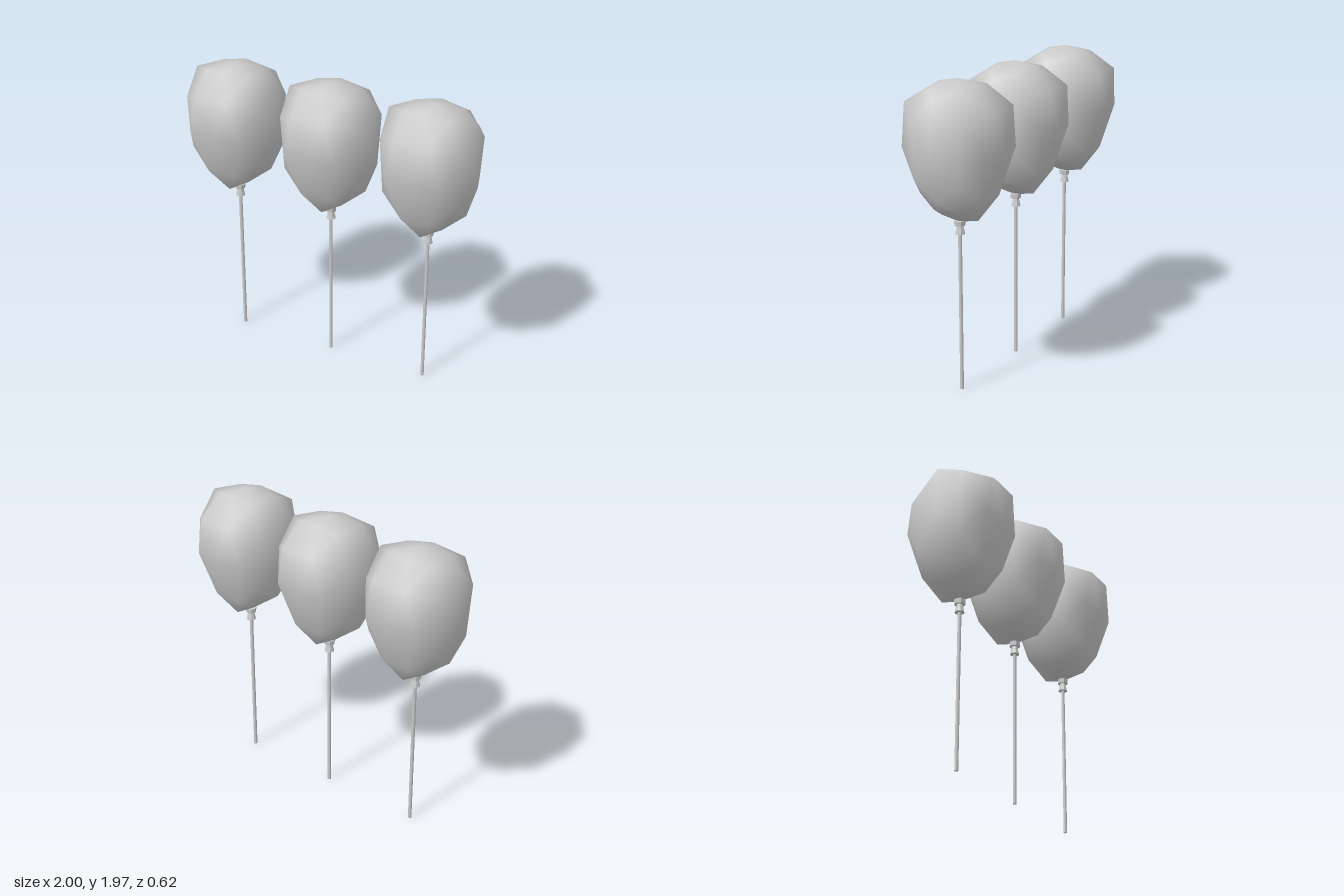
import * as THREE from 'three';
import { mergeVertices } from 'three/addons/utils/BufferGeometryUtils.js';

const MID = 1.56; // height of the widest point
const SPACING = 0.685;

// Vertex families of a once-divided icosahedron in one octant:
// unit direction, then shaped position (x, y, z from MID) above and below
const SHAPE = [
  [[0, 1, 0], [0, 0.41, 0], [0, -0.465, 0]], // crown and base
  [[0, 0.851, 0.526], [0, 0.385, 0.13], [0, -0.44, 0.13]],
  [[0.5, 0.809, 0.309], [0.155, 0.362, 0.105], [0.13, -0.37, 0.1]],
  [[0.851, 0.526, 0], [0.29, 0.328, 0], [0.245, -0.29, 0]], // side shoulders
  [[0.309, 0.5, 0.809], [0.115, 0.262, 0.305], [0.095, -0.29, 0.22]],
  [[0.809, 0.309, 0.5], [0.27, 0.18, 0.165], [0.25, -0.17, 0.155]],
  [[0.526, 0, 0.851], [0.175, 0, 0.288], [0.175, 0, 0.288]], // waist
  [[1, 0, 0], [0.315, 0, 0], [0.315, 0, 0]],
  [[0, 0, 1], [0.308, 0, 0.308].map((v, i) => (i === 2 ? v : 0)), [0, 0, 0.308]],
];

function balloonGeometry() {
  let geo = new THREE.IcosahedronGeometry(1, 1).rotateY(Math.PI / 2);
  geo.deleteAttribute('normal');
  geo.deleteAttribute('uv');
  geo = mergeVertices(geo, 1e-3);
  const pos = geo.attributes.position;
  const v = new THREE.Vector3();
  const sign = (n) => (n < 0 ? -1 : 1);
  for (let i = 0; i < pos.count; i++) {
    v.fromBufferAttribute(pos, i);
    const closeness = ([d]) => Math.abs(v.x) * d[0] + Math.abs(v.y) * d[1] + Math.abs(v.z) * d[2];
    const family = SHAPE.reduce((a, b) => (closeness(b) > closeness(a) ? b : a));
    const p = family[v.y < -1e-3 ? 2 : 1];
    pos.setXYZ(i, sign(v.x) * p[0], MID + p[1], sign(v.z) * p[2]);
  }
  geo.computeVertexNormals();
  return geo;
}

export function createModel() {
  const model = new THREE.Group();
  model.name = 'balloonsOnSticks';
  const smooth = new THREE.MeshStandardMaterial({ color: 0xcccccc });
  const faceted = new THREE.MeshStandardMaterial({ color: 0xcccccc, flatShading: true });

  // Tapered round part standing between two heights
  const rod = (rTop, rBottom, y0, y1) =>
    new THREE.CylinderGeometry(rTop, rBottom, y1 - y0, 8).translate(0, (y0 + y1) / 2, 0);

  const parts = [
    ['balloon', balloonGeometry(), smooth],
    ['knotCollar', rod(0.036, 0.034, 1.072, 1.103), faceted],
    ['holderCup', rod(0.019, 0.031, 1.018, 1.074), faceted],
    ['stick', rod(0.012, 0.012, 0, 1.04), smooth],
  ];

  ['right', 'middle', 'left'].forEach((side, i) => {
    const unit = new THREE.Group();
    unit.name = side + 'Balloon';
    unit.position.x = (i - 1) * SPACING;
    for (const [name, geo, mat] of parts) {
      const mesh = new THREE.Mesh(geo, mat);
      mesh.name = name;
      unit.add(mesh);
    }
    model.add(unit);
  });
  return model;
}
